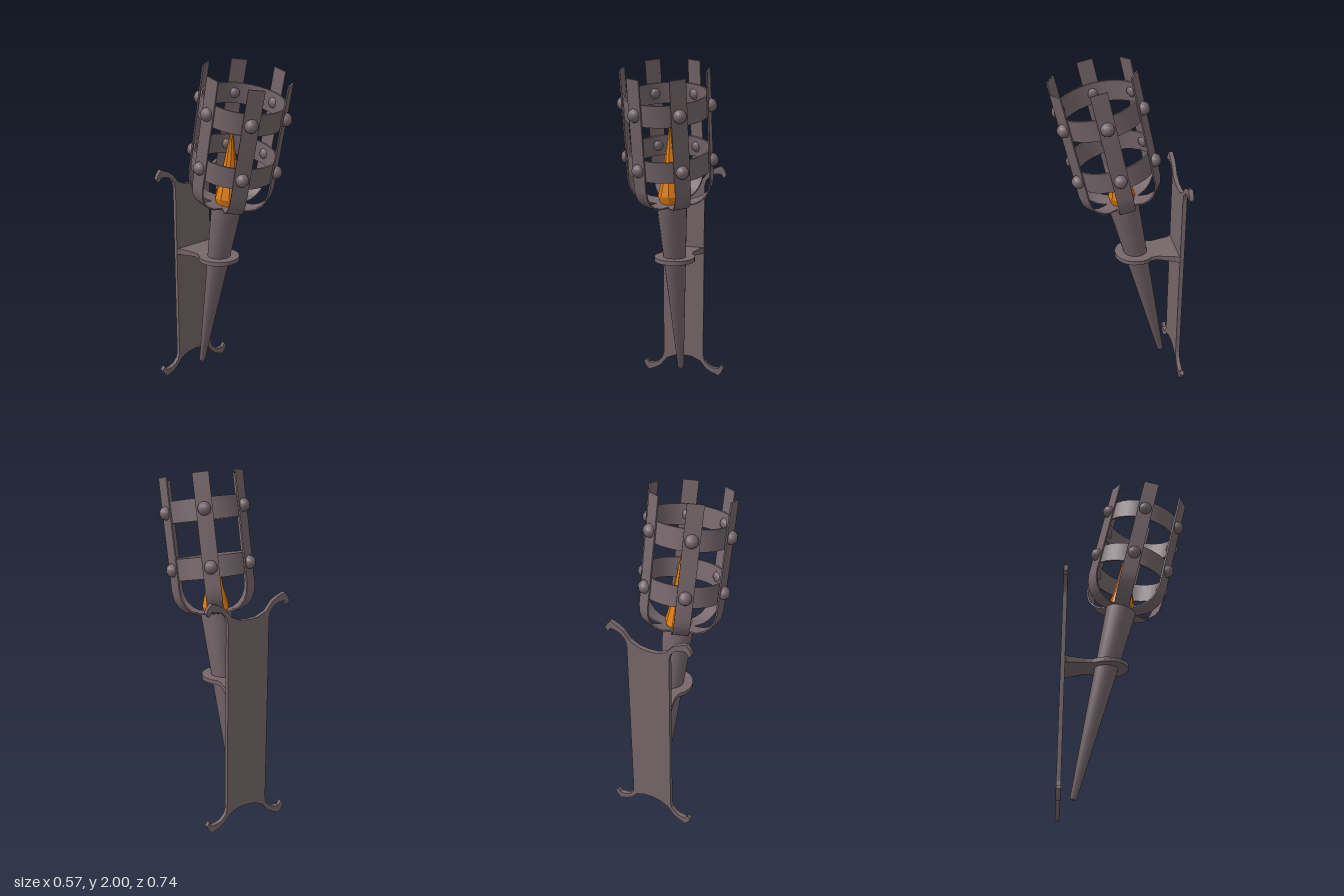
import * as THREE from 'three';
import { toCreasedNormals } from 'three/addons/utils/BufferGeometryUtils.js';

const metal = new THREE.MeshStandardMaterial({ color: 0x75666a });
const fire = new THREE.MeshStandardMaterial({ color: 0xdd7c0a, flatShading: true });

const v2 = (list) => list.map(([x, y]) => new THREE.Vector2(x, y));

function part(name, geometry, material = metal) {
  const mesh = new THREE.Mesh(geometry, material);
  mesh.name = name;
  return mesh;
}

function lathe(points, sides) {
  return toCreasedNormals(new THREE.LatheGeometry(v2(points), sides), 0.7);
}

function slab(points, depth) {
  return new THREE.ExtrudeGeometry(new THREE.Shape(v2(points)), { depth, bevelEnabled: false });
}

// Flat strap following a radius/height path, thickened along its normals
function strapGeometry(path, width, thickness) {
  const side = (sign) => path.map(([x, y], i) => {
    const a = path[Math.max(i - 1, 0)];
    const b = path[Math.min(i + 1, path.length - 1)];
    const dx = b[0] - a[0], dy = b[1] - a[1];
    const k = (sign * thickness) / 2 / Math.hypot(dx, dy);
    return [x + dy * k, y - dx * k];
  });
  const geometry = slab([...side(1), ...side(-1).reverse()], width);
  geometry.translate(0, 0, -width / 2);
  return toCreasedNormals(geometry, 0.7);
}

// Wall plate with a curled horn at every corner
function wallPlate() {
  const height = 1.36;
  const corner = [[0, 0.12], [0.055, 0.115], [0.11, 0.09], [0.15, 0.04], [0.185, 0.018], [0.23, 0.005],
    [0.252, 0.025], [0.264, 0.052], [0.246, 0.074], [0.23, 0.047], [0.195, 0.05], [0.165, 0.063], [0.14, 0.092], [0.13, 0.125]];
  corner[5][1] = 0;
  const right = [...corner, ...corner.map(([x, y]) => [x, height - y]).reverse()];
  const left = right.slice(1, -1).map(([x, y]) => [-x, y]).reverse();
  const geometry = slab([...right, ...left], 0.025);
  geometry.translate(0, 0, -0.37);
  return part('wallPlate', geometry);
}

// Horizontal arm ending in a round collar around the handle
function bracket() {
  const arm = [[0.13, 0.346], [0.113, 0.327], [0.087, 0.225]];
  const outline = arm.map((p) => [...p]);
  const start = 0.75, end = -Math.PI - 0.75, steps = 18;
  for (let i = 0; i <= steps; i++) {
    const a = start + ((end - start) * i) / steps;
    outline.push([0.122 * Math.cos(a), 0.102 + 0.122 * Math.sin(a)]);
  }
  outline.push(...arm.map(([x, y]) => [-x, y]).reverse());
  const geometry = slab(outline, 0.025);
  geometry.rotateX(-Math.PI / 2).translate(0, 0.82, 0);
  // The underside drops slightly where the arm meets the plate
  const p = geometry.attributes.position;
  for (let i = 0; i < p.count; i++) {
    if (p.getZ(i) < -0.3 && p.getY(i) < 0.83) p.setY(i, 0.808);
  }
  geometry.computeVertexNormals();
  return part('bracket', geometry);
}

// Flame standing more upright than the torch
function flame() {
  const profile = [[0, 1.17], [0.062, 1.175], [0.078, 1.23], [0.054, 1.33], [0.034, 1.46], [0, 1.665]];
  const geometry = new THREE.LatheGeometry(v2(profile), 10);
  const p = geometry.attributes.position;
  for (let i = 0; i < p.count; i++) p.setZ(i, p.getZ(i) - 0.021 + (p.getY(i) - 1.22) * 0.09);
  return part('flame', geometry, fire);
}

export function createModel() {
  const model = new THREE.Group();
  model.name = 'wallTorch';
  model.add(wallPlate(), bracket(), flame());

  // Tilted torch: heights below run along its own axis
  const torch = new THREE.Group();
  torch.name = 'torch';
  torch.position.set(0, 0.06, -0.277);
  torch.rotation.x = THREE.MathUtils.degToRad(12.5);
  model.add(torch);

  torch.add(part('handle', lathe([[0, -0.003], [0.012, 0], [0.019, 0.012], [0.09, 1.165], [0, 1.165]], 20)));

  const cageRadius = 0.24;
  const hoopHeights = [1.429, 1.743];

  // Hoops just inside the straps
  for (const y of hoopHeights) {
    const low = y - 0.06, high = y + 0.06;
    torch.add(part('hoop', lathe(
      [[0.226, low], [0.236, low], [0.236, high], [0.226, high], [0.226, low]], 28)));
  }

  // Six straps, each with a rivet at every hoop
  const path = [[0.02, 1.161], [0.09, 1.163], [0.14, 1.17], [0.18, 1.19], [0.212, 1.222],
    [0.232, 1.262], [cageRadius, 1.31], [cageRadius, 1.937]];
  const strap = strapGeometry(path, 0.09, 0.008);
  const rivet = new THREE.SphereGeometry(0.038, 10, 8);
  for (let i = 0; i < 6; i++) {
    const rib = new THREE.Group();
    rib.name = 'cageRib';
    rib.rotation.y = (i * Math.PI) / 3;
    rib.add(part('strap', strap));
    for (const y of hoopHeights) {
      const ball = part('rivet', rivet);
      ball.position.set(0.246, y, 0);
      rib.add(ball);
    }
    torch.add(rib);
  }
  return model;
}
